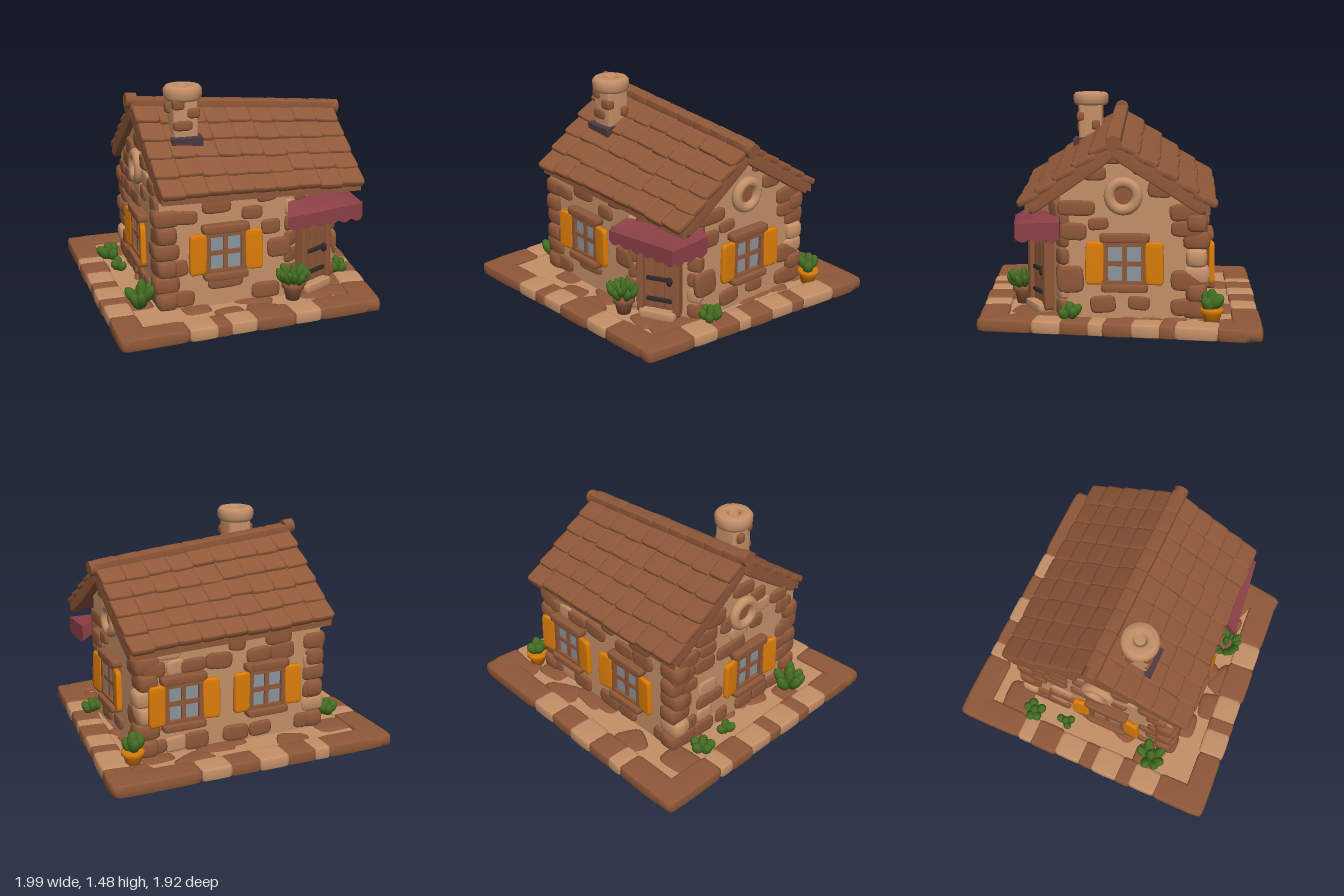
import * as THREE from 'three';

const mat = (name, color) => Object.assign(new THREE.MeshStandardMaterial({ color }), { name });
const brown = mat('brown clay', 0x8f5839), tan = mat('tan stone', 0xc49068), orange = mat('orange paint', 0xdd7d0a);
const glass = mat('grey glass', 0x8a959c), green = mat('leaf green', 0x446c22), wine = mat('wine cloth', 0x8a3f46);
const iron = mat('dark iron', 0x33282a), slate = mat('purple slate', 0x4d3a42);

let seed = 11;
const rnd = (a = 0, b = 1) => { seed = (seed * 16807) % 2147483647; return a + (b - a) * seed / 2147483647; };

// Rounded block: a unit sphere pushed towards a cube; a lower exponent is boxier
function blockGeometry(e) {
  const g = new THREE.SphereGeometry(1, 16, 8), p = g.attributes.position;
  const f = v => Math.sign(v) * Math.pow(Math.abs(v) < 1e-6 ? 0 : Math.abs(v), e) * 0.5;
  for (let i = 0; i < p.count; i++) p.setXYZ(i, f(p.getX(i)), f(p.getY(i)), f(p.getZ(i)));
  g.computeVertexNormals();
  return g;
}
const pebble = blockGeometry(0.5), block = blockGeometry(0.28), ball = new THREE.SphereGeometry(0.5, 10, 8);
const box = new THREE.BoxGeometry(1, 1, 1);

function add(parent, name, geo, material, pos = [0, 0, 0], size = [1, 1, 1], rot = [0, 0, 0]) {
  const m = new THREE.Mesh(geo, material);
  m.name = name;
  m.position.set(...pos); m.scale.set(...size); m.rotation.set(...rot);
  parent.add(m);
  return m;
}
function group(parent, name) {
  const g = new THREE.Group();
  g.name = name; parent.add(g);
  return g;
}

// Closed solid through rings of points, capped at both ends
function loft(rings) {
  const n = rings[0].length, pos = [];
  const tri = (...v) => v.forEach(p => pos.push(...p));
  for (let i = 0; i + 1 < rings.length; i++) for (let j = 0; j < n; j++) {
    const k = (j + 1) % n, a = rings[i][j], b = rings[i][k], c = rings[i + 1][k], d = rings[i + 1][j];
    tri(a, d, b); tri(d, c, b);
  }
  const s = rings[0], t = rings[rings.length - 1];
  for (let j = 1; j + 1 < n; j++) { tri(s[0], s[j], s[j + 1]); tri(t[0], t[j + 1], t[j]); }
  const g = new THREE.BufferGeometry();
  g.setAttribute('position', new THREE.Float32BufferAttribute(pos, 3));
  g.computeVertexNormals();
  return g;
}

// Crooked roof surface: u runs left to right, t from ridge to eave, side is +1 front or -1 back
const ridgeY = u => 1.31 - 0.12 * u, eaveY = u => 0.855 - 0.05 * u;
const eaveZ = (u, side) => side > 0 ? 0.615 - 0.06 * u : 0.63 - 0.025 * u;
const roofPoint = (u, t, side) => new THREE.Vector3(-0.69 + 1.43 * u + (side > 0 ? 0.045 * t * (1 - u) : 0),
  THREE.MathUtils.lerp(ridgeY(u), eaveY(u), t), side * t * eaveZ(u, side));
const roofY = (x, z) => {
  const u = (x + 0.69) / 1.43;
  return roofPoint(u, Math.abs(z) / eaveZ(u, Math.sign(z) || 1), 1).y;
};

function buildBase(root) {
  const g = group(root, 'base');
  const c = [[-0.91, 0.87], [0.69, 0.77], [0.89, -0.84], [-0.91, -0.87]];
  const plate = new THREE.ExtrudeGeometry(new THREE.Shape(c.map(p => new THREE.Vector2(p[0], -p[1]))), { depth: 0.05, bevelEnabled: false });
  add(g, 'groundPlate', plate, tan, [0, 0.013, 0], [1, 1, 1], [-Math.PI / 2, 0, 0]);
  // border stones: lengths in eighteenths of each edge, brown and tan in turn
  const edges = [[4, 2, 1, 2, 3, 2, 4], [3, 2, 2, 1, 2, 2, 1, 3, 2], [5, 2, 2, 2, 2, 1, 4], [4, 1, 2, 2, 1, 2, 1, 2, 3]];
  c.forEach((a, k) => {
    const b = c[(k + 1) % 4], L = Math.hypot(b[0] - a[0], b[1] - a[1]), r = Math.atan2(a[1] - b[1], b[0] - a[0]);
    let at = 0;
    edges[k].forEach((n, i) => {
      const from = i ? at : -0.085 * 18 / L, s = (from + at + n) / 36;
      add(g, 'borderStone', block, i % 2 ? tan : brown, [a[0] + (b[0] - a[0]) * s, 0.043, a[1] + (b[1] - a[1]) * s],
        [L * (at + n - from) / 18 + 0.02, 0.085, rnd(0.175, 0.2)], [0, r, 0]);
      at += n;
    });
  });
  // flagstones, showing above and below the plate
  for (let z = -0.74; z < 0.75; z += 0.165) for (let x = -0.76; x < 0.8 - (z + 0.9) * 0.1; x += 0.19)
    if (rnd() < 0.5) add(g, 'flagstone', pebble, brown, [x + rnd(-0.04, 0.04), 0.039, z + rnd(-0.03, 0.03)],
      [rnd(0.2, 0.29), 0.078, rnd(0.15, 0.22)], [0, rnd(-0.5, 0.5), 0]);
}

// Wall piece between two ground points, seen left to right from outside; local z faces out.
// Openings are [x, y, half width, half height]; brown stones are [x, y, width, height], or scattered if not given
function buildWall(root, name, a, b, openings, stones) {
  const g = group(root, name), dx = b[0] - a[0], dz = b[1] - a[1], L = Math.hypot(dx, dz);
  g.position.set(a[0], 0, a[1]);
  g.rotation.y = Math.atan2(-dz, dx);
  const top = s => roofY(a[0] + dx * s / L, a[1] + dz * s / L) - 0.03;
  const shape = new THREE.Shape([new THREE.Vector2(0, 0.04), new THREE.Vector2(L, 0.04)]);
  for (let i = 20; i >= 0; i--) shape.lineTo(L * i / 20, top(L * i / 20));
  const body = new THREE.ExtrudeGeometry(shape, { depth: 0.05, bevelEnabled: false });
  add(g, 'wallBody', body, tan, [0, 0, -0.05]);
  if (stones) {
    for (const [x, y, w, h] of stones) add(g, 'wallStone', pebble, brown, [x, y, 0], [w * 1.1, h * 1.12, 0.05], [0, 0, rnd(-0.1, 0.1)]);
    return g;
  }
  for (let y = 0.13; y < 1.15; y += 0.105) for (let x = rnd(0.06, 0.14); x < L - 0.04;) {
    const w = rnd(0.1, 0.2), h = rnd(0.09, 0.125), roll = rnd();
    const clear = openings.every(o => Math.abs(x - o[0]) > o[2] + w * 0.35 || Math.abs(y - o[1]) > o[3] + h * 0.3);
    if (clear && roll < 0.7 && Math.min(top(Math.max(0, x - w / 2)), top(Math.min(L, x + w / 2))) > y + h * 0.5)
      add(g, 'wallStone', pebble, roll < 0.58 ? brown : tan, [x, y, 0], [w, h, roll < 0.58 ? 0.05 : 0.035], [0, 0, rnd(-0.12, 0.12)]);
    x += w * 0.95;
  }
  return g;
}

function addWindow(wall, x, y) {
  const g = group(wall, 'window');
  g.position.set(x, y, 0);
  add(g, 'pane', box, glass, [0, 0, 0.016], [0.24, 0.26, 0.02]);
  for (const s of [-1, 1]) {
    add(g, 'frameSide', box, brown, [s * 0.122, 0, 0.025], [0.036, 0.29, 0.05]);
    add(g, 'frameRail', box, brown, [0, s * 0.128, 0.025], [0.27, 0.034, 0.05]);
    add(g, 'shutter', block, orange, [s * 0.19, 0.005, 0.045], [0.118, 0.275, 0.04], [0, -s * 0.15, s * 0.02]);
  }
  add(g, 'mullion', box, brown, [0, 0, 0.025], [0.03, 0.26, 0.03]);
  add(g, 'transom', box, brown, [0, 0, 0.025], [0.24, 0.03, 0.03]);
  add(g, 'lintel', block, brown, [0, 0.165, 0.03], [0.32, 0.055, 0.08]);
  add(g, 'sill', block, brown, [0, -0.155, 0.035], [0.3, 0.05, 0.09]);
}
function addRoundWindow(wall, x, y) {
  add(wall, 'roundWindowRing', new THREE.TorusGeometry(0.088, 0.035, 10, 24), tan, [x, y, 0.02]);
  add(wall, 'roundWindowPanel', new THREE.CylinderGeometry(0.07, 0.07, 0.03, 20), brown, [x, y, 0.005], [1, 1, 1], [Math.PI / 2, 0, 0]);
}

function addDoor(wall, x) {
  const g = group(wall, 'door');
  g.position.set(x, 0, 0);
  for (let i = -1; i <= 1; i++) add(g, 'doorPlank', block, brown, [i * 0.07, 0.33, 0.02], [0.074, 0.44, 0.045]);
  for (const s of [-1, 1]) add(g, 'doorPost', block, brown, [s * 0.125, 0.34, 0.03], [0.05, 0.5, 0.08]);
  add(g, 'doorHead', block, brown, [0, 0.57, 0.03], [0.32, 0.06, 0.08]);
  add(g, 'doorStep', block, tan, [0, 0.1, 0.05], [0.26, 0.06, 0.1]);
  for (const y of [0.2, 0.35]) add(g, 'hinge', block, iron, [0.005, y, 0.05], [0.18, 0.026, 0.024]);
  add(g, 'handle', ball, iron, [0.08, 0.345, 0.06], [0.04, 0.065, 0.04]);
}

function buildRoof(root) {
  const g = group(root, 'roof');
  // deck under the tiles
  const ring = u => {
    const p = (t, s, d) => { const v = roofPoint(u, t, s); return [v.x, v.y - d, v.z]; };
    return [p(0, 1, 0), p(1, -1, 0), p(1, -1, 0.055), p(0, 1, 0.05), p(1, 1, 0.055), p(1, 1, 0)];
  };
  add(g, 'roofDeck', loft([ring(0), ring(1)]), brown);
  // overlapping tiles, lower edge lifted
  const rows = 5, cols = 9;
  for (const side of [1, -1]) for (let r = 0; r < rows; r++) for (let c = 0; c < cols; c++) {
    const u = (c + 0.5) / cols, t = (r + 0.5) / rows;
    const ex = roofPoint(u + 0.05, t, side).sub(roofPoint(u - 0.05, t, side)).multiplyScalar(side).normalize();
    const down = roofPoint(u, 1, side).sub(roofPoint(u, 0, side)), len = down.length() / rows;
    const n = down.normalize().clone().cross(ex).normalize();
    const holder = group(g, 'tileSeat');
    holder.quaternion.setFromRotationMatrix(new THREE.Matrix4().makeBasis(ex, n, ex.clone().cross(n)));
    holder.position.copy(roofPoint(u, t, side));
    add(holder, 'roofTile', block, brown, [0, 0.014 + rnd(0, 0.006), 0.012 + rnd(-0.01, 0.01)], [0.17, 0.045, len * 1.28], [-0.13, rnd(-0.04, 0.04), rnd(-0.03, 0.03)]);
  }
  // bargeboards on both gables
  for (const u of [0.015, 0.985]) for (const side of [1, -1]) {
    const a = roofPoint(u, 0, side), b = roofPoint(u, 0.98, side), len = a.distanceTo(b);
    a.y -= 0.04; b.y -= 0.04;
    const m = add(g, 'bargeboard', block, brown, a.clone().lerp(b, 0.5).toArray(), [0.05, 0.09, len]);
    m.lookAt(b);
  }
  // ridge caps and end knobs
  for (let i = 0; i < 9; i++) {
    const p = roofPoint((i + 0.5) / 9, 0, 1);
    add(g, 'ridgeCap', block, brown, [p.x, p.y + 0.015, 0], [0.18, 0.085, 0.1], [0, 0, -0.084 + rnd(-0.03, 0.03)]);
  }
  const knob = new THREE.CylinderGeometry(0.05, 0.05, 0.07, 14);
  for (const u of [0, 1.005]) {
    const p = roofPoint(u, 0, 1);
    add(g, 'ridgeKnob', knob, brown, [p.x, p.y + (u ? 0.012 : 0.035), 0], [1, 1, 1], [0, 0, Math.PI / 2 - 0.08]);
  }
}

function buildChimney(root) {
  const g = group(root, 'chimney');
  g.position.set(-0.39, 0, 0.21);
  add(g, 'stack', block, tan, [0, 1.24, 0], [0.175, 0.4, 0.175]);
  add(g, 'flashing', box, slate, [0, 1.11, 0.015], [0.21, 0.09, 0.21], [0.12, 0, 0]);
  for (const [x, y, z, w] of [[-0.02, 1.22, 0.07, 0.13], [0.05, 1.3, 0.07, 0.09], [-0.05, 1.36, 0.07, 0.08], [0.07, 1.24, -0.04, 0.09], [-0.07, 1.32, -0.03, 0.09], [-0.03, 1.25, -0.07, 0.09]])
    add(g, 'stackStone', pebble, brown, [x, y, z], [w, 0.07, 0.06]);
  const profile = [[0.03, 1.41], [0.035, 1.46], [0.06, 1.475], [0.11, 1.47], [0.127, 1.45], [0.125, 1.4], [0.11, 1.38], [0, 1.38]];
  add(g, 'chimneyCap', new THREE.LatheGeometry(profile.map(p => new THREE.Vector2(...p)).reverse(), 24), tan);
  add(g, 'flueFloor', new THREE.CylinderGeometry(0.04, 0.04, 0.02, 12), tan, [0, 1.44, 0]);
}

// Corner awning: inner edge on the slanted wall, outer edge round the corner
function buildAwning(root) {
  const rings = [], N = 48, split = 0.66;
  for (let i = 0; i <= N; i++) {
    const s = i / N, q = Math.min(1, s / split), r = Math.max(0, (s - split) / (1 - split));
    const ox = 0.17 + 0.555 * q, oz = 0.69 - 0.065 * q - 0.285 * r, ix = 0.21 + 0.45 * s, iz = 0.58 - 0.24 * s;
    const scallop = 0.024 * Math.abs(Math.sin(s * Math.PI * 9)), top = 0.66 + 0.04 * s;
    rings.push([[ix, 0.73, iz], [ix, 0.63, iz], [ox, 0.592 - scallop, oz], [ox, top, oz]]);
  }
  add(root, 'awning', loft(rings), wine);
}

function buildPlant(root, x, z, y, n, r, h, width, pot, potHeight = 1) {
  const g = group(root, 'plant');
  g.position.set(x, 0, z);
  if (pot) {
    const prof = [[0, 0.07], [0.045, 0.07], [0.062, 0.15], [0.075, 0.155], [0.075, 0.185], [0.06, 0.19], [0, 0.18]];
    add(g, 'pot', new THREE.LatheGeometry(prof.map(p => new THREE.Vector2(...p)), 16), pot, [0, 0, 0], [1, potHeight, 1]);
  }
  for (let i = 0; i < n; i++) {
    const a = i * 2.4, k = i ? 1 : 0;
    add(g, 'leaf', ball, green, [Math.cos(a) * r * k, y + h * (k ? rnd(0.3, 0.55) : 0.5), Math.sin(a) * r * k],
      [width, h * (k ? 0.75 : 1), width], [Math.sin(a) * 0.6 * k, 0, -Math.cos(a) * 0.6 * k]);
  }
}

export function createModel() {
  seed = 11;
  const root = new THREE.Group();
  root.name = 'cottage';
  buildBase(root);

  const c = [[-0.65, 0.56], [0.25, 0.55], [0.64, 0.34], [0.66, -0.57], [-0.64, -0.57]];
  const win = x => [x, 0.43, 0.24, 0.18];
  const front = buildWall(root, 'frontWall', c[0], c[1], [], [[0.38, 0.75, 0.18, 0.09], [0.17, 0.69, 0.15, 0.08], [0.62, 0.68, 0.13, 0.08],
    [0.72, 0.78, 0.12, 0.06], [0.81, 0.42, 0.15, 0.12], [0.75, 0.57, 0.12, 0.09], [0.44, 0.22, 0.22, 0.07], [0.1, 0.14, 0.24, 0.1],
    [0.72, 0.13, 0.18, 0.1], [0.11, 0.35, 0.14, 0.1]]);
  const corner = buildWall(root, 'doorWall', c[1], c[2], [[0.19, 0.35, 0.15, 0.3]]);
  const right = buildWall(root, 'rightWall', c[2], c[3], [], [[0.1, 0.78, 0.22, 0.09], [0.22, 1.0, 0.13, 0.08], [0.34, 1.1, 0.12, 0.07],
    [0.79, 0.76, 0.18, 0.1], [0.8, 0.65, 0.18, 0.09], [0.8, 0.32, 0.18, 0.12], [0.63, 0.9, 0.14, 0.09], [0.8, 0.15, 0.18, 0.1],
    [0.08, 0.63, 0.16, 0.1], [0.06, 0.32, 0.16, 0.16], [0.27, 0.16, 0.15, 0.1], [0.5, 0.17, 0.13, 0.08], [0.24, 0.68, 0.12, 0.07], [0.52, 1.03, 0.11, 0.07]]);
  const back = buildWall(root, 'backWall', c[3], c[4], [win(0.28), win(0.88)]);
  const left = buildWall(root, 'leftWall', c[4], c[0], [win(0.66), [0.6, 0.9, 0.1, 0.1]]);
  addWindow(front, 0.43, 0.44);
  addWindow(right, 0.41, 0.43);
  addWindow(back, 0.28, 0.42);
  addWindow(back, 0.88, 0.42);
  addWindow(left, 0.66, 0.43);
  addRoundWindow(right, 0.4, 0.86);
  addRoundWindow(left, 0.6, 0.9);
  addDoor(corner, 0.19);

  // corner stones, alternating long and short
  const quoins = group(root, 'cornerStones');
  c.forEach((p, k) => {
    const slanted = k === 1 || k === 2;
    for (let i = 0; i < 6; i++) {
      const l = slanted ? 0.11 : 0.14 + i % 2 * 0.04, d = slanted ? 0.11 : 0.18 - i % 2 * 0.04;
      add(quoins, 'cornerStone', pebble, rnd() < 0.68 ? brown : tan,
        [p[0] * 0.93, 0.13 + i * 0.112, p[1] * 0.92], [l, 0.12, d], [0, slanted ? 0.5 : 0, 0]);
    }
  });

  buildRoof(root);
  buildChimney(root);
  buildAwning(root);

  buildPlant(root, -0.75, 0.46, 0.07, 7, 0.06, 0.2, 0.075);
  buildPlant(root, -0.78, -0.45, 0.07, 6, 0.045, 0.13, 0.07);
  buildPlant(root, -0.76, -0.21, 0.07, 4, 0.035, 0.11, 0.06);
  buildPlant(root, 0.7, 0.28, 0.07, 6, 0.045, 0.12, 0.06);
  buildPlant(root, 0.235, 0.63, 0.18, 16, 0.08, 0.14, 0.05, brown);
  buildPlant(root, 0.74, -0.62, 0.14, 5, 0.035, 0.15, 0.075, orange, 0.87);
  return root;
}
